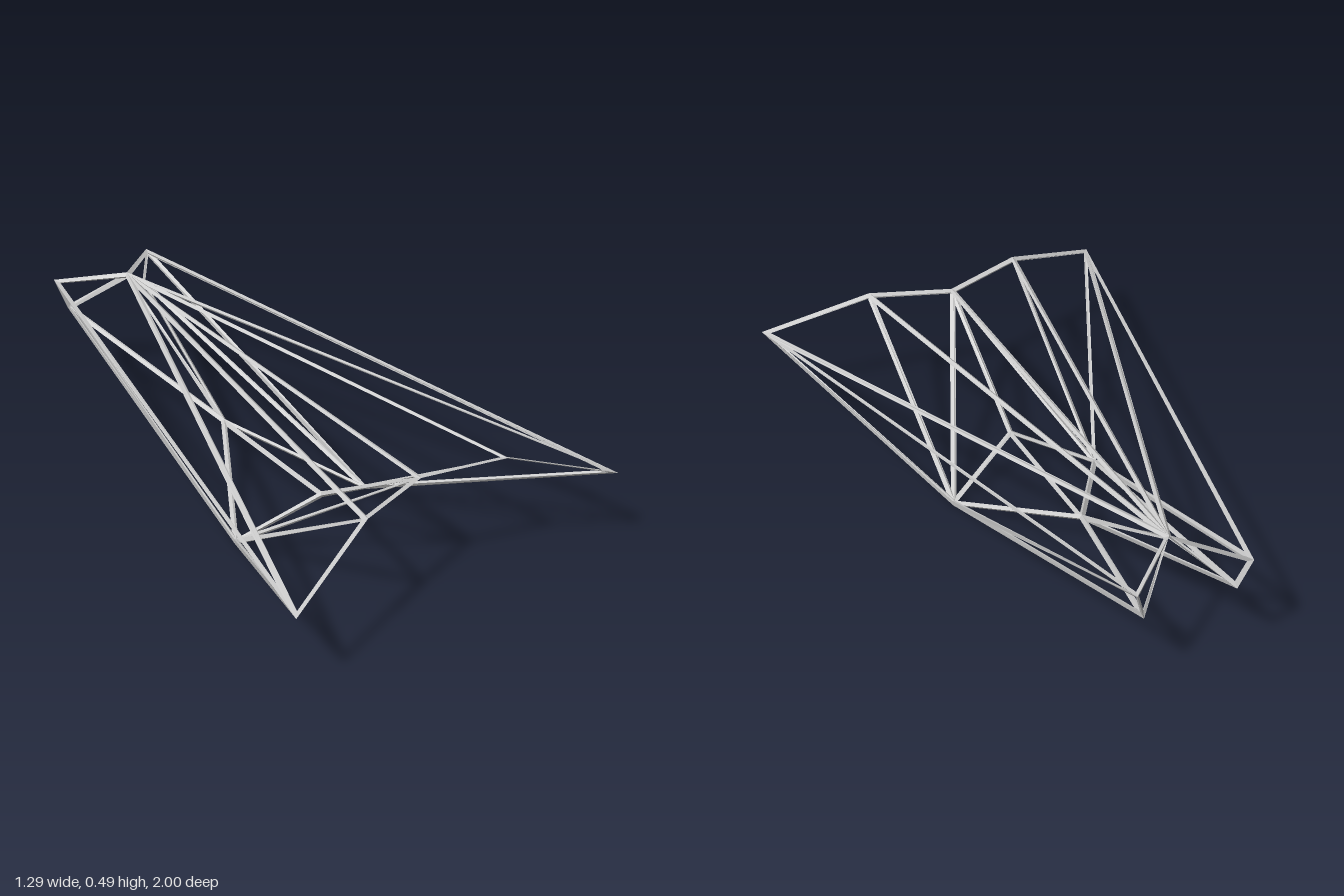
import * as THREE from 'three';

// Half width of a strut: the ridge rises by this much and each face is inset by it
const HALF = 0.01;

// Corners of the left half; corners with x = 0 lie on the centre line
const CORNERS = {
  wing: [0.639, 0.341, 0.992],
  brow: [0.281, 0.469, 0.865],
  nose: [0, 0.46, 0.778],
  spine: [0, 0.484, -0.82],
  foot: [0.271, 0.009, 0.19],
  keelFront: [0, 0.147, 0.302],
  keelBack: [0, 0.159, -0.247],
  tail: [0.195, 0.448, -0.99],
  tailLow: [0.16, 0.342, -0.966],
};

// Triangular panels of the left half, counter-clockwise from outside
const PANELS = {
  deckFrame: ['wing spine brow', 'brow spine nose', 'spine wing tail'],
  frontFrame: ['wing brow foot', 'brow nose foot', 'nose keelFront foot'],
  undersideFrame: ['keelFront keelBack foot', 'keelBack tailLow foot', 'tailLow tail foot', 'tail wing foot'],
  tailFrame: ['spine tail tailLow', 'spine tailLow keelBack'],
};

// Make both halves; centre-line corners are shared
function buildCage() {
  const points = {}, parts = {};
  const corner = (name, side) => {
    const [x, y, z] = CORNERS[name];
    const key = x === 0 ? name : name + side;
    points[key] ??= { pos: new THREE.Vector3(x * side, y, z), normal: new THREE.Vector3() };
    return points[key];
  };
  for (const [part, list] of Object.entries(PANELS)) {
    parts[part] = [];
    for (const side of [1, -1]) {
      for (const names of list) {
        const tri = names.split(' ').map((n) => corner(n, side));
        parts[part].push(side > 0 ? tri : tri.reverse());
      }
    }
  }
  // Corner normals, weighted by the angle of each panel
  for (const tri of Object.values(parts).flat()) {
    const faceNormal = new THREE.Triangle(...tri.map((c) => c.pos)).getNormal(new THREE.Vector3());
    tri.forEach((c, i) => {
      const a = tri[(i + 1) % 3].pos.clone().sub(c.pos);
      const b = tri[(i + 2) % 3].pos.clone().sub(c.pos);
      c.normal.addScaledVector(faceNormal, a.angleTo(b));
    });
  }
  Object.values(points).forEach((c) => c.normal.normalize());
  return parts;
}

// Corners of a triangle moved inwards, towards its incentre
function insetCorners(p) {
  const len = p.map((_, i) => p[(i + 1) % 3].distanceTo(p[(i + 2) % 3]));
  const around = len[0] + len[1] + len[2];
  const centre = new THREE.Vector3();
  p.forEach((v, i) => centre.addScaledVector(v, len[i] / around));
  const radius = (2 * new THREE.Triangle(...p).getArea()) / around;
  return p.map((v) => v.clone().lerp(centre, HALF / radius));
}

// Each panel contributes one half of the diamond-section strut along its edges
function frameGeometry(panels) {
  const verts = [];
  const quad = (a, b, c, d) => [a, b, c, a, c, d].forEach((v) => verts.push(v.x, v.y, v.z));
  for (const tri of panels) {
    const inset = insetCorners(tri.map((c) => c.pos));
    const outer = tri.map((c) => c.pos.clone().addScaledVector(c.normal, HALF));
    const inner = tri.map((c) => c.pos.clone().addScaledVector(c.normal, -HALF));
    for (let i = 0; i < 3; i++) {
      const j = (i + 1) % 3;
      quad(outer[i], outer[j], inset[j], inset[i]);
      quad(inner[j], inner[i], inset[i], inset[j]);
    }
  }
  const geo = new THREE.BufferGeometry();
  geo.setAttribute('position', new THREE.Float32BufferAttribute(verts, 3));
  geo.computeVertexNormals();
  return geo;
}

export function createModel() {
  const group = new THREE.Group();
  group.name = 'wireframeShip';
  const material = new THREE.MeshStandardMaterial({ color: 0xcccccc, flatShading: true });
  for (const [name, panels] of Object.entries(buildCage())) {
    const mesh = new THREE.Mesh(frameGeometry(panels), material);
    mesh.name = name;
    group.add(mesh);
  }
  return group;
}
